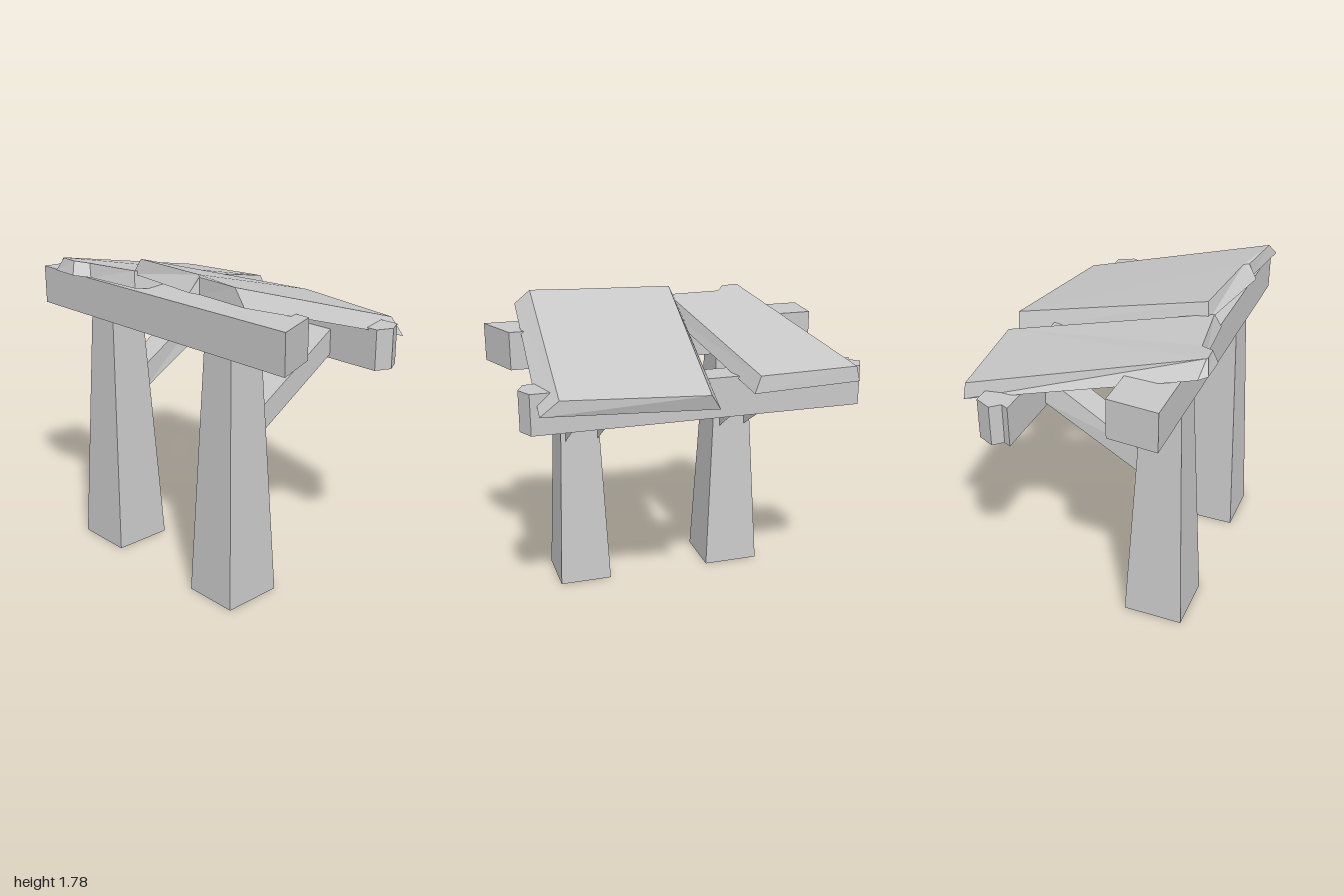
import * as THREE from 'three';

const stone = new THREE.MeshStandardMaterial({ color: 0xc8c8c8, side: THREE.DoubleSide, flatShading: true });
stone.name = 'plain grey';

// Shell open underneath: a top outline joined to a bottom outline.
// Outlines hold [x, y, z] corners, counter-clockwise seen from above.
function shell(name, top, bottom) {
  const positions = [];
  const tri = (a, b, c) => positions.push(...a, ...b, ...c);
  const outline = top.map(([x, , z]) => new THREE.Vector2(x, -z));
  for (const [a, b, c] of THREE.ShapeUtils.triangulateShape(outline, [])) tri(top[a], top[b], top[c]);
  top.forEach((corner, i) => {
    const j = (i + 1) % top.length;
    tri(bottom[i], bottom[j], top[j]);
    tri(bottom[i], top[j], corner);
  });
  const geometry = new THREE.BufferGeometry();
  geometry.setAttribute('position', new THREE.Float32BufferAttribute(positions, 3));
  geometry.computeVertexNormals();
  const mesh = new THREE.Mesh(geometry, stone);
  mesh.name = name;
  return mesh;
}

// Corners of a level rectangle
const rectangle = (x0, x1, z0, z1, y) => [[x0, y, z1], [x1, y, z1], [x1, y, z0], [x0, y, z0]];

// Upright prism from a plan of [x, z] corners
const prism = (name, plan, y0, y1) =>
  shell(name, plan.map(([x, z]) => [x, y1, z]), plan.map(([x, z]) => [x, y0, z]));

// Sloping brace; its lower edge widens by flare at the beam end
function brace(name, z0, z1, flare) {
  const x0 = -0.3, x1 = 0.26, rise = 0.613;
  const edge = (y, f) => [
    [x0, y + rise * (x0 + 0.29), z1], [x1, y + rise * (x1 + 0.29), z1 + f],
    [x1, y + rise * (x1 + 0.29), z0 - f], [x0, y + rise * (x0 + 0.29), z0]];
  return shell(name, edge(1.065, 0), edge(0.92, flare));
}

export function createModel() {
  const group = new THREE.Group();
  group.name = 'leanToShelter';

  // Tapered posts
  group.add(
    shell('frontPost', rectangle(-0.52, -0.305, 0.4, 0.6, 1.39), rectangle(-0.58, -0.24, 0.345, 0.66, 0)),
    shell('backPost', rectangle(-0.52, -0.305, -0.56, -0.365, 1.39), rectangle(-0.58, -0.24, -0.63, -0.29, 0)));

  // Braces from the posts to the low beam
  group.add(brace('frontBrace', 0.395, 0.59, 0), brace('backBrace', -0.545, -0.385, 0.02));

  // Beams with rough-cut ends
  group.add(
    prism('highBeam', [[-0.55, 0.995], [-0.275, 0.89], [-0.275, -0.955], [-0.55, -0.98]], 1.39, 1.61),
    prism('lowBeam', [[0.24, 0.905], [0.33, 0.945], [0.42, 0.9], [0.42, -0.955],
      [0.33, -1.0], [0.28, -0.955], [0.24, -0.975]], 1.225, 1.45));

  // Chipped roof slabs
  group.add(
    shell('frontRoofSlab',
      [[-0.6, 1.78, 0.71], [0.54, 1.44, 0.77], [0.68, 1.44, 0.01], [-0.5, 1.775, -0.12],
        [-0.54, 1.78, 0.39], [-0.565, 1.775, 0.42]],
      [[-0.625, 1.7, 0.8], [0.52, 1.355, 0.87], [0.66, 1.355, -0.045], [-0.52, 1.69, -0.165],
        [-0.615, 1.7, 0.4], [-0.575, 1.69, 0.43]]),
    shell('backRoofSlab',
      [[-0.54, 1.715, -0.13], [0.585, 1.49, -0.295], [0.525, 1.48, -0.88], [-0.655, 1.73, -0.62],
        [-0.66, 1.73, -0.61], [-0.655, 1.725, -0.52], [-0.585, 1.71, -0.47]],
      [[-0.57, 1.63, -0.09], [0.6, 1.4, -0.255], [0.53, 1.395, -0.9], [-0.64, 1.65, -0.7],
        [-0.68, 1.655, -0.66], [-0.68, 1.65, -0.5], [-0.6, 1.635, -0.445]]));

  return group;
}
